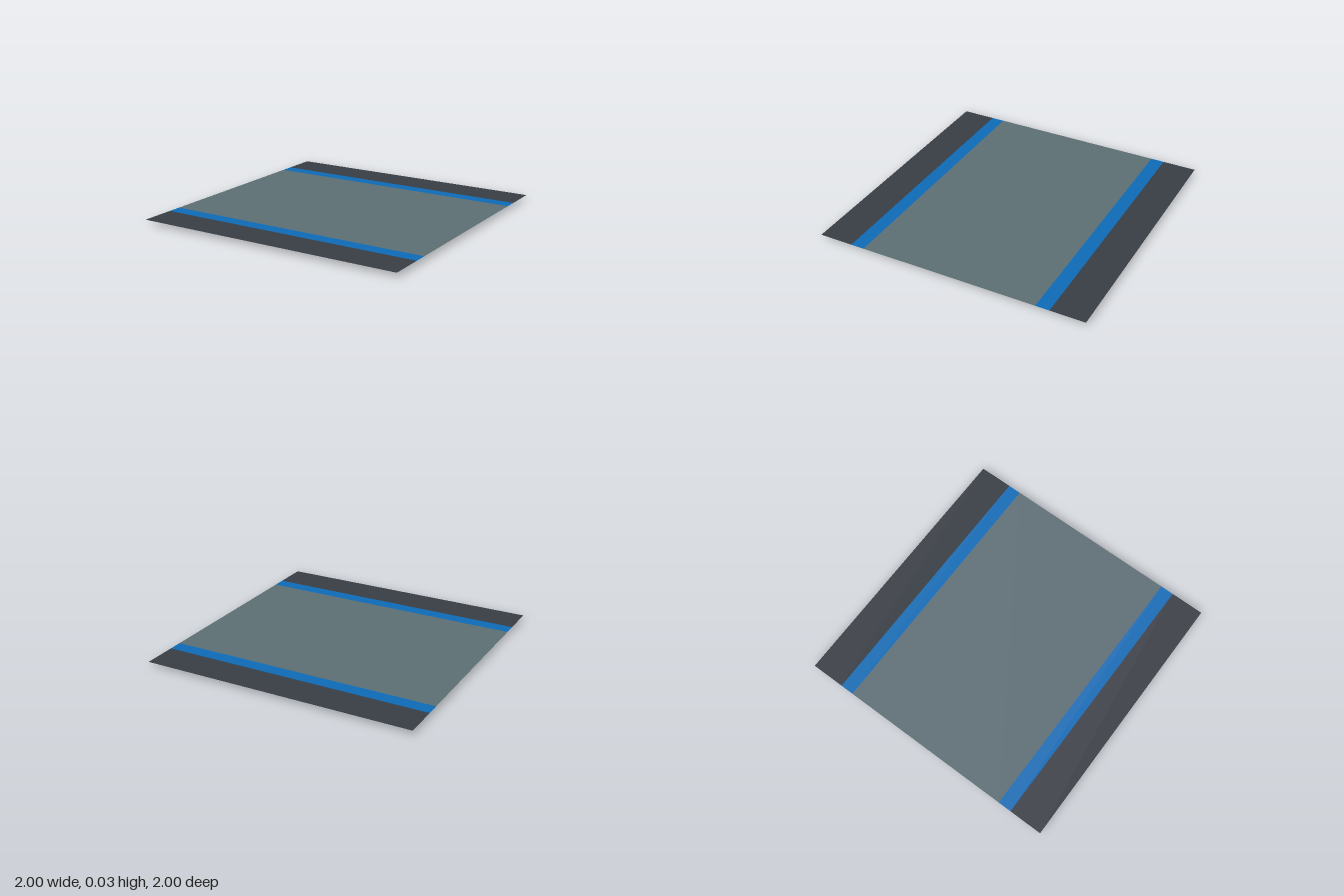
import * as THREE from 'three';

const DECK_Y = 0.034, BASE_Y = 0.01;

const paint = (name, color) => {
  const m = new THREE.MeshStandardMaterial({ color });
  m.name = name;
  return m;
};

// Rectangle outline with cut corners, as [x, z] points
function cutRectangle(w, d, cut) {
  return [
    [w, -d + cut], [w, d - cut], [w - cut, d], [-w + cut, d],
    [-w, d - cut], [-w, -d + cut], [-w + cut, -d], [w - cut, -d],
  ];
}

// Ellipse outline, turned by an angle, as [x, z] points
function ellipse(a, b, turn, sides = 12) {
  return Array.from({ length: sides }, (_, i) => {
    const t = (i / sides) * Math.PI * 2;
    const u = a * Math.cos(t), v = b * Math.sin(t);
    return [u * Math.cos(turn) - v * Math.sin(turn), u * Math.sin(turn) + v * Math.cos(turn)];
  });
}

// Sloping wall between two outlines (group 0) and a downward cap (group 1)
function taperedTray(bottom, top, y0, y1) {
  const wall = [], cap = [];
  bottom.forEach(([bx, bz], i) => {
    const j = (i + 1) % bottom.length;
    const [cx, cz] = bottom[j], [tx, tz] = top[i], [ux, uz] = top[j];
    wall.push(bx, y0, bz, tx, y1, tz, cx, y0, cz);
    wall.push(cx, y0, cz, tx, y1, tz, ux, y1, uz);
    cap.push(0, y0, 0, bx, y0, bz, cx, y0, cz);
  });
  const g = new THREE.BufferGeometry();
  g.setAttribute('position', new THREE.Float32BufferAttribute([...wall, ...cap], 3));
  g.addGroup(0, wall.length / 3, 0);
  g.addGroup(wall.length / 3, cap.length / 3, 1);
  g.computeVertexNormals();
  return g;
}

export function createModel() {
  const model = new THREE.Group();
  model.name = 'floorPanel';

  const grey = paint('slateGrey', 0x5e7076);
  const blue = paint('stripeBlue', 0x0e6cb7);
  const dark = paint('charcoal', 0x393d45);
  const yellow = paint('rimYellow', 0xeab000);
  for (const m of [grey, blue, dark]) m.side = THREE.DoubleSide;

  const add = (name, geometry, material) => {
    const mesh = new THREE.Mesh(geometry, material);
    mesh.name = name;
    model.add(mesh);
    return mesh;
  };

  // Thin deck made of bands running across x
  const band = (name, z0, z1, material) => {
    const g = new THREE.PlaneGeometry(2, z1 - z0).rotateX(-Math.PI / 2);
    add(name, g, material).position.set(0, DECK_Y, (z0 + z1) / 2);
  };
  band('deckCentre', -0.65, 0.65, grey);
  band('frontStripe', 0.65, 0.75, blue);
  band('backStripe', -0.75, -0.65, blue);
  band('frontBorder', 0.75, 1, dark);
  band('backBorder', -1, -0.75, dark);

  // Shallow tray under the deck with a sloping yellow rim
  add('underTray', taperedTray(
    cutRectangle(0.937, 0.425, 0.045), cutRectangle(0.972, 0.46, 0.05), BASE_Y, DECK_Y,
  ), [yellow, grey]);

  // Low oval feet, each pointing at its corner
  for (const sx of [-1, 1]) {
    for (const sz of [-1, 1]) {
      const turn = sx * sz * Math.PI / 4;
      const foot = add('foot', taperedTray(
        ellipse(0.042, 0.022, turn), ellipse(0.054, 0.031, turn), 0, BASE_Y,
      ), [blue, blue]);
      foot.position.set(sx * 0.815, 0, sz * 0.305);
    }
  }
  return model;
}
